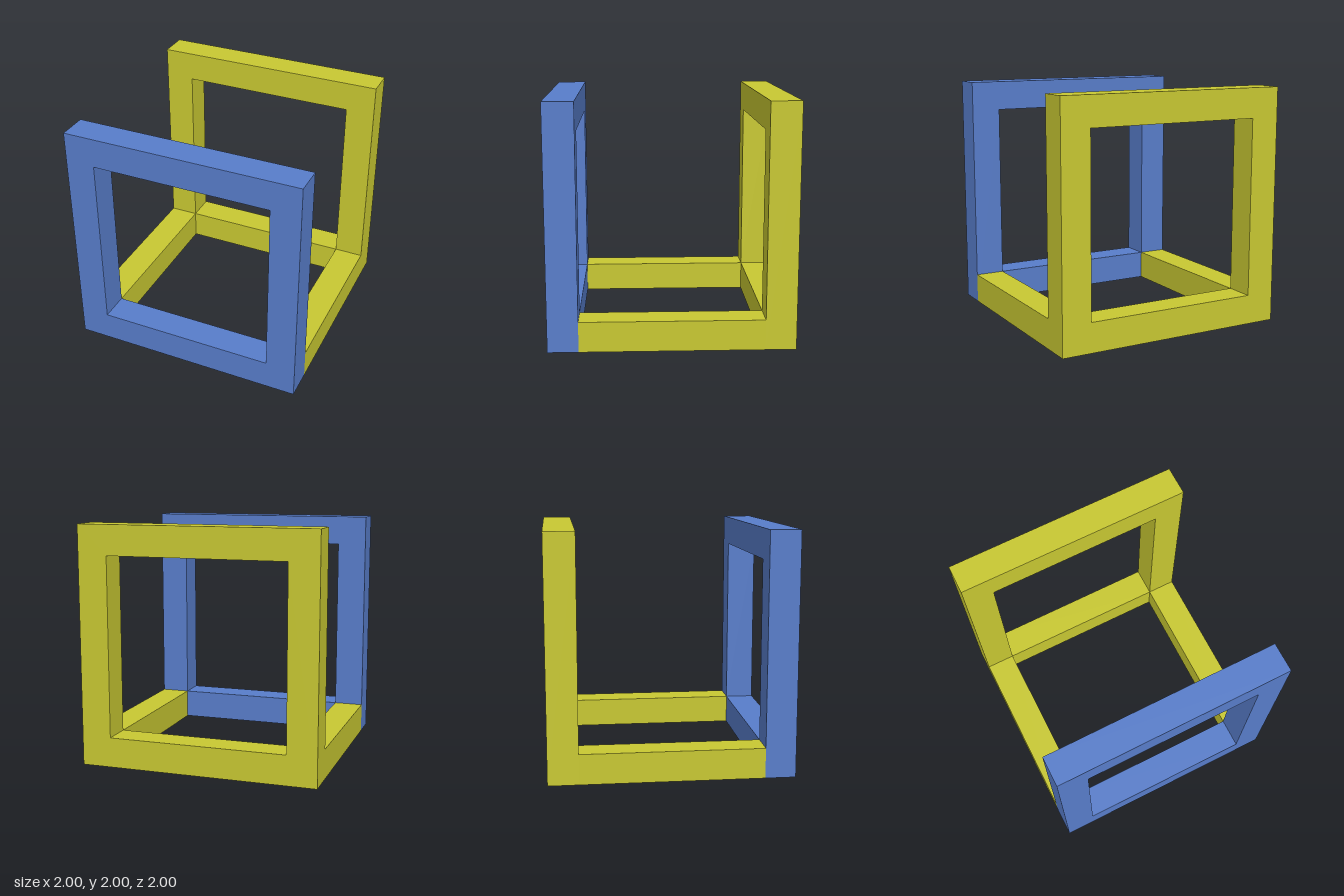
import * as THREE from 'three';

const SIZE = 2;    // outer edge of the cube
const BAR = 0.25;  // bar thickness
const INNER = SIZE / 2 - BAR;

// Square outline centred on the origin
function square(half, PathType) {
  const p = new PathType();
  p.moveTo(-half, -half);
  p.lineTo(half, -half);
  p.lineTo(half, half);
  p.lineTo(-half, half);
  p.closePath();
  return p;
}

export function createModel() {
  const blue = new THREE.MeshStandardMaterial({ name: 'blue', color: 0x587dca });
  const yellow = new THREE.MeshStandardMaterial({ name: 'yellow', color: 0xc8c832 });

  const model = new THREE.Group();
  model.name = 'openCubeFrame';

  // Upright square frames at front and back
  const outline = square(SIZE / 2, THREE.Shape);
  outline.holes.push(square(INNER, THREE.Path));
  const frameGeometry = new THREE.ExtrudeGeometry(outline, { depth: BAR, bevelEnabled: false });
  for (const [name, material, z] of [['frontFrame', blue, INNER], ['backFrame', yellow, -SIZE / 2]]) {
    const frame = new THREE.Mesh(frameGeometry, material);
    frame.name = name;
    frame.position.set(0, SIZE / 2, z);
    model.add(frame);
  }

  // Bottom side bars joining the two frames
  const barGeometry = new THREE.BoxGeometry(BAR, BAR, 2 * INNER);
  for (const [name, side] of [['leftBottomBar', 1], ['rightBottomBar', -1]]) {
    const bar = new THREE.Mesh(barGeometry, yellow);
    bar.name = name;
    bar.position.set(side * (SIZE - BAR) / 2, BAR / 2, 0);
    model.add(bar);
  }

  return model;
}
